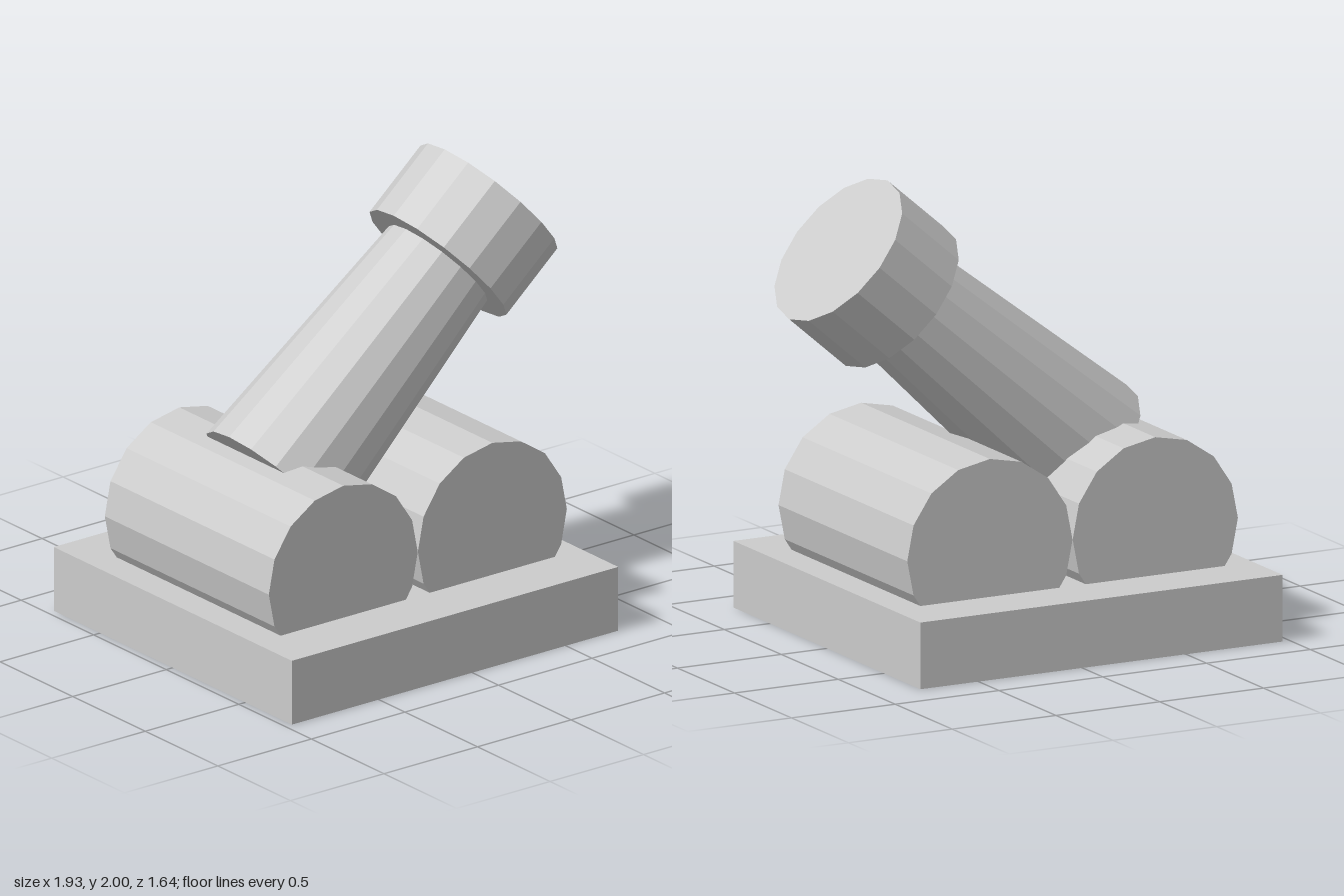
import * as THREE from 'three';

const SIDES = 16;

export function createModel() {
  const model = new THREE.Group();
  model.name = 'mortar';
  const material = new THREE.MeshStandardMaterial({ color: 0xcccccc, flatShading: true });

  const add = (parent, name, geometry, x, y, z = 0) => {
    const mesh = new THREE.Mesh(geometry, material);
    mesh.name = name;
    mesh.position.set(x, y, z);
    parent.add(mesh);
    return mesh;
  };

  // Square base slab
  add(model, 'base', new THREE.BoxGeometry(1.745, 0.29, 1.64), -0.0925, 0.145);

  // Two cradle rollers lying along z, sunk into the slab
  for (const [name, x] of [['rightRoller', -0.492], ['leftRoller', 0.305]]) {
    const roller = add(model, name, new THREE.CylinderGeometry(0.398, 0.398, 1.13, SIDES), x, 0.492);
    roller.rotation.x = Math.PI / 2;
  }

  // Tilted barrel assembly: local y runs from the breech to the muzzle
  const barrel = new THREE.Group();
  barrel.name = 'barrelAssembly';
  barrel.position.set(0.725, 1.7275, 0);
  barrel.rotation.z = THREE.MathUtils.degToRad(40.8 - 90);
  model.add(barrel);

  // Tapered tube, ending inside the muzzle ring
  add(barrel, 'barrel', new THREE.CylinderGeometry(0.25, 0.338, 1.343, SIDES), 0, -0.8715);

  // Wide muzzle ring with a closed face
  add(barrel, 'muzzle', new THREE.CylinderGeometry(0.362, 0.362, 0.36, SIDES), 0, -0.18);

  return model;
}
